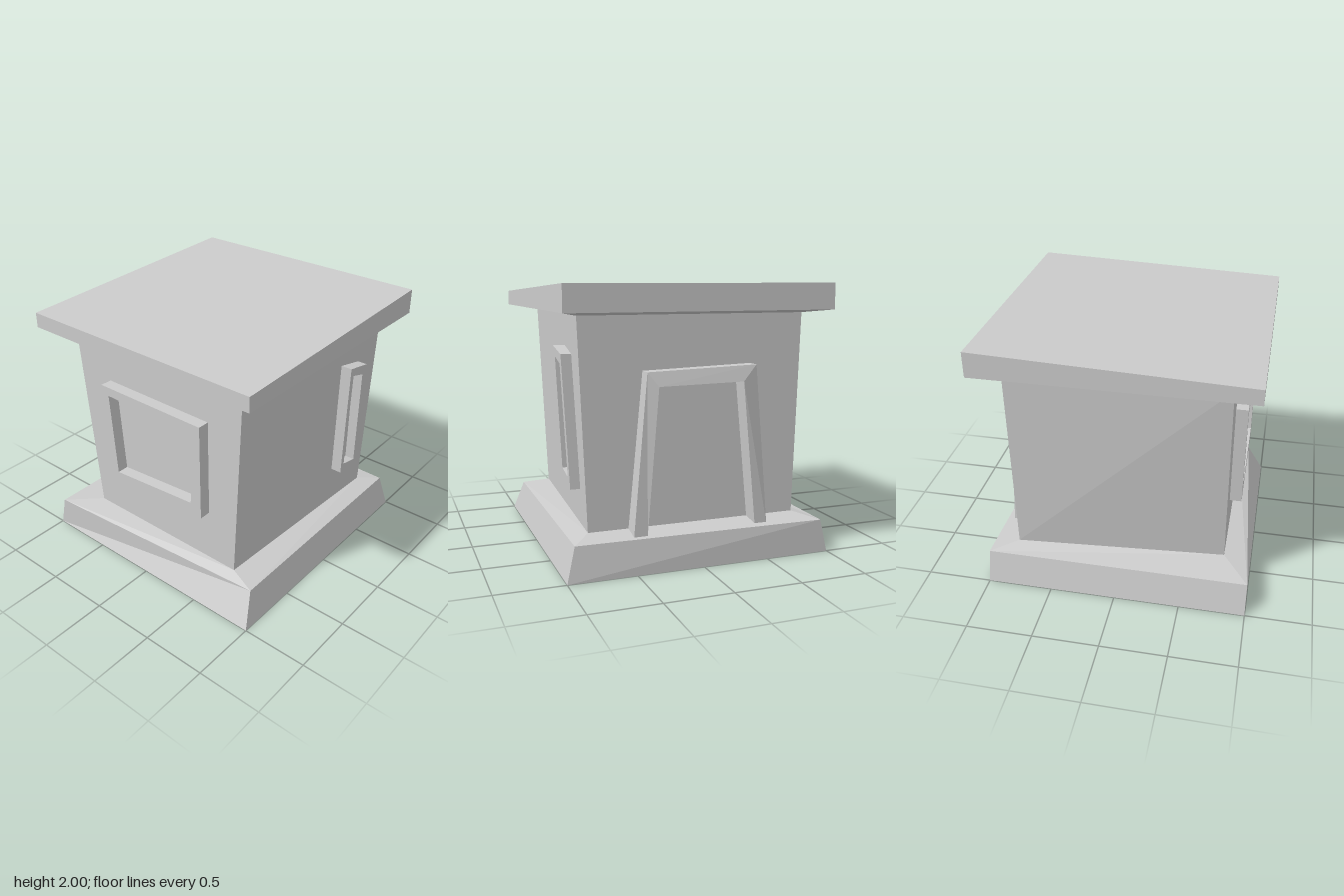
import * as THREE from 'three';

const material = new THREE.MeshStandardMaterial({ color: 0xcccccc, flatShading: true });

// Flat-shaded mesh from quads, corners counter-clockwise seen from outside
function quadMesh(name, quads) {
  const pos = [];
  for (const [a, b, c, d] of quads) pos.push(...a, ...b, ...c, ...a, ...c, ...d);
  const geo = new THREE.BufferGeometry();
  geo.setAttribute('position', new THREE.Float32BufferAttribute(pos, 3));
  geo.computeVertexNormals();
  const mesh = new THREE.Mesh(geo, material);
  mesh.name = name;
  return mesh;
}

// Solid through stacked four-cornered rings: front left, front right, back right, back left in x
function loft(name, rings) {
  const quads = [[...rings[0]].reverse(), rings[rings.length - 1]];
  for (let r = 0; r < rings.length - 1; r++) {
    for (let i = 0; i < 4; i++) {
      const j = (i + 1) % 4;
      quads.push([rings[r][i], rings[r][j], rings[r + 1][j], rings[r + 1][i]]);
    }
  }
  return quadMesh(name, quads);
}

// Raised surround between an outer and an inner outline, running back into the wall on one axis
function surround(name, outer, inner, axis, depth, closed) {
  const back = (p) => p.map((v, i) => (i === axis ? depth : v));
  const n = outer.length, quads = [];
  for (let i = 0; i < (closed ? n : n - 1); i++) {
    const j = (i + 1) % n;
    quads.push([outer[i], outer[j], inner[j], inner[i]]);
    quads.push([back(outer[i]), back(outer[j]), outer[j], outer[i]]);
    quads.push([inner[i], inner[j], back(inner[j]), back(inner[i])]);
  }
  if (!closed) {
    const e = n - 1;
    quads.push([back(outer[0]), outer[0], inner[0], back(inner[0])]);
    quads.push([back(inner[e]), inner[e], outer[e], back(outer[e])]);
  }
  return quadMesh(name, quads);
}

const square = (s, y) => [[-s, y, s], [s, y, s], [s, y, -s], [-s, y, -s]];

export function createModel() {
  const group = new THREE.Group();

  // Wall outlines, a little askew
  const wallBottom = [[-0.8, 0.28, 0.725], [0.8, 0.28, 0.8], [0.8, 0.28, -0.8], [-0.8, 0.28, -0.67]];
  const wallTop = [[-0.8, 1.785, 0.79], [0.8, 1.785, 0.86], [0.8, 1.785, -0.845], [-0.8, 1.785, -0.8]];

  // Plinth with battered sides and a sloping ledge
  group.add(loft('plinth', [
    square(1, 0),
    [[-0.87, 0.25, 0.935], [0.96, 0.25, 0.935], [1, 0.25, -0.94], [-1, 0.25, -0.94]],
    wallBottom,
  ]));
  group.add(loft('walls', [wallBottom, wallTop]));

  // Roof slab, higher on the door side, with sloping eaves
  group.add(loft('roof', [
    wallTop,
    square(1, 1.81),
    square(1, 0).map(([x, , z]) => [x, x > 0 ? 2 : 1.925, z]),
  ]));

  // Door surround, open at the bottom
  group.add(surround('doorFrame',
    [[0.935, 0.255, -0.52], [0.905, 1.425, -0.43], [0.905, 1.4, 0.395], [0.935, 0.255, 0.505]],
    [[0.935, 0.255, -0.425], [0.935, 1.31, -0.32], [0.935, 1.3, 0.32], [0.935, 0.255, 0.405]],
    0, 0.78, false));

  // Narrow front window, leaning with the wall
  const onFront = ([x, y]) => [x, y, 0.875 + 0.041 * (y - 0.55)];
  group.add(surround('frontWindowFrame',
    [[0.37, 0.595], [0.615, 0.55], [0.56, 1.51], [0.335, 1.555]].map(onFront),
    [[0.405, 0.665], [0.56, 0.63], [0.515, 1.44], [0.38, 1.48]].map(onFront),
    2, 0.75, true));

  // Wide side window
  const onSide = ([z, y]) => [-0.89, y, z];
  group.add(surround('sideWindowFrame',
    [[-0.44, 0.635], [0.49, 0.695], [0.49, 1.46], [-0.467, 1.46]].map(onSide),
    [[-0.356, 0.73], [0.394, 0.79], [0.436, 1.375], [-0.4, 1.39]].map(onSide),
    0, -0.78, true));

  return group;
}
